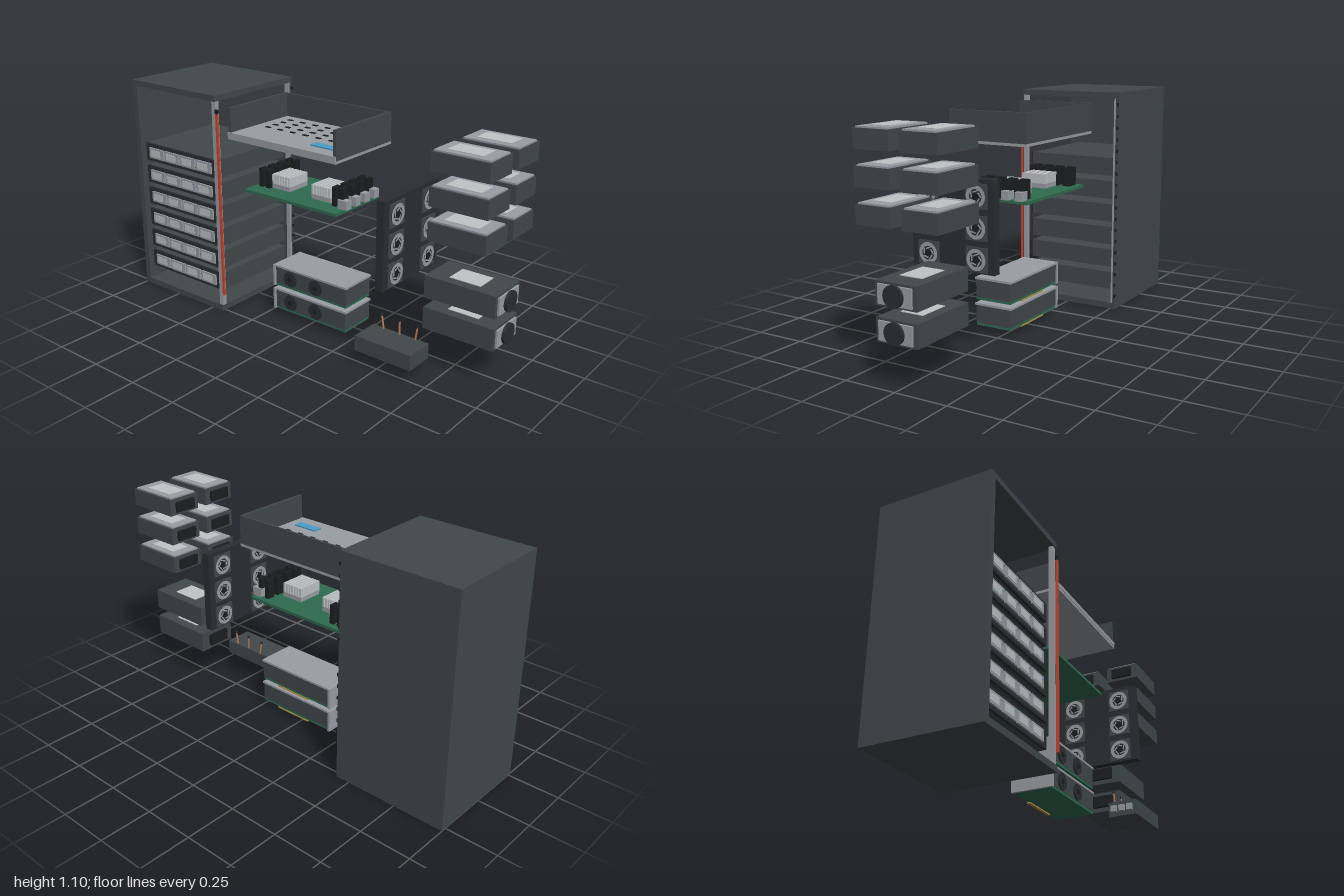
import * as THREE from 'three';

const mat = (c) => new THREE.MeshStandardMaterial({ color: c });
const M = {
  shell: mat(0x42484b), dark: mat(0x2a2e31), black: mat(0x1b1e20), steel: mat(0x9a9da3),
  label: mat(0xc0c4c6), red: mat(0xc8452f), green: mat(0x2f6b50), blue: mat(0x4a9cc8),
  gold: mat(0xb09040), copper: mat(0xb87f55),
};

// Box given by its min and max corners
function box(parent, name, m, x0, x1, y0, y1, z0, z1) {
  const mesh = new THREE.Mesh(new THREE.BoxGeometry(x1 - x0, y1 - y0, z1 - z0), m);
  mesh.position.set((x0 + x1) / 2, (y0 + y1) / 2, (z0 + z1) / 2);
  mesh.name = name;
  parent.add(mesh);
  return mesh;
}

// Disc whose axis runs along x or z
function disc(parent, name, m, r, depth, axis, x, y, z) {
  const g = new THREE.CylinderGeometry(r, r, depth, 28);
  if (axis === 'x') g.rotateZ(Math.PI / 2); else g.rotateX(Math.PI / 2);
  const mesh = new THREE.Mesh(g, m);
  mesh.position.set(x, y, z);
  mesh.name = name;
  parent.add(mesh);
  return mesh;
}

function group(parent, name) {
  const g = new THREE.Group();
  g.name = name;
  parent.add(g);
  return g;
}

// Cabinet, open at the front and on its +x side
function cabinet(root) {
  const g = group(root, 'cabinet');
  box(g, 'leftPanel', M.shell, -1, -0.97, 0, 1.095, -0.275, 0.27);
  box(g, 'backPanel', M.shell, -0.97, -0.43, 0.03, 1.067, -0.275, -0.26);
  box(g, 'floorPanel', M.shell, -0.97, -0.43, 0, 0.03, -0.275, 0.27);
  box(g, 'roofPanel', M.shell, -0.97, -0.43, 1.067, 1.095, -0.275, 0.27);
  box(g, 'frontPost', M.steel, -0.455, -0.43, 0.03, 1.067, 0.243, 0.264);
  box(g, 'rearPost', M.steel, -0.455, -0.43, 0.03, 1.067, -0.26, -0.25);
  box(g, 'redStrip', M.red, -0.425, -0.413, 0.09, 1.01, 0.262, 0.272);
  box(g, 'stripCap', M.black, -0.43, -0.415, 1.01, 1.03, 0.26, 0.27);
  for (let i = 0; i < 18; i++) {
    const y = 0.06 + i * 0.057;
    box(g, 'rearClip', M.black, -0.435, -0.424, y, y + 0.016, -0.275, -0.268);
  }
  // Drive bays with four drives each
  for (let i = 0; i < 6; i++) {
    const b = group(g, 'driveBay'), y = 0.138 + i * 0.1172;
    box(b, 'bayBody', M.shell, -0.97, -0.46, y - 0.045, y + 0.045, -0.235, 0.225);
    box(b, 'bayFront', M.dark, -0.968, -0.462, y - 0.045, y + 0.045, 0.225, 0.237);
    for (let k = 0; k < 4; k++) {
      const x = -0.938 + k * 0.112;
      box(b, 'drive', M.steel, x, x + 0.103, y - 0.027, y + 0.027, 0.237, 0.245);
      box(b, 'driveLight', M.blue, x + 0.092, x + 0.097, y + 0.01, y + 0.016, 0.245, 0.247);
      box(b, 'driveLatch', M.label, x + 0.012, x + 0.08, y - 0.017, y + 0.017, 0.245, 0.2465);
    }
  }
}

// Open tray with vent slots in its floor
function tray(root) {
  const g = group(root, 'chassisTray');
  box(g, 'trayBase', M.steel, -0.37, 0.262, 0.896, 0.909, -0.16, 0.248);
  box(g, 'trayFloor', M.steel, -0.352, 0.246, 0.909, 0.93, -0.15, 0.248);
  box(g, 'frontLip', M.steel, -0.37, 0.262, 0.909, 0.93, 0.244, 0.25);
  box(g, 'sideWall', M.shell, -0.37, -0.352, 0.909, 1.045, -0.16, 0.244);
  box(g, 'sideWall', M.shell, 0.246, 0.262, 0.909, 1.045, -0.16, 0.244);
  box(g, 'backWall', M.shell, -0.352, 0.246, 0.909, 1.045, -0.16, -0.15);
  for (let r = 0; r < 4; r++) for (let c = 0; c < 7; c++) {
    const x = -0.28 + c * 0.076, z = -0.092 + r * 0.054;
    box(g, 'ventSlot', M.black, x - 0.014, x + 0.014, 0.93, 0.933, z - 0.007, z + 0.007);
  }
  box(g, 'blueTag', M.blue, 0.07, 0.197, 0.93, 0.936, 0.138, 0.182);
}

// Main circuit board
function mainBoard(root) {
  const g = group(root, 'mainBoard');
  box(g, 'board', M.green, -0.328, 0.22, 0.632, 0.646, -0.14, 0.19);
  for (const x of [-0.185, 0.057]) {
    box(g, 'heatSinkBase', M.steel, x - 0.055, x + 0.055, 0.646, 0.668, -0.035, 0.095);
    for (let i = 0; i < 7; i++) {
      const fx = x - 0.055 + i * 0.0165;
      box(g, 'heatSinkFin', M.label, fx, fx + 0.011, 0.668, 0.714, -0.035, 0.095);
    }
  }
  for (const x of [-0.291, -0.25, 0.15, 0.191]) for (let k = 0; k < 4; k++) {
    const z = -0.09 + k * 0.062;
    box(g, 'memoryStick', M.black, x - 0.011, x + 0.011, 0.646, 0.737, z - 0.02, z + 0.02);
  }
  for (const z of [-0.1, -0.03, 0.04, 0.11]) {
    box(g, 'edgeConnector', M.steel, 0.18, 0.231, 0.646, 0.688, z - 0.018, z + 0.018);
  }
}

// Expansion card with two front fans
function expansionCard(root, y) {
  const g = group(root, 'expansionCard');
  box(g, 'shroud', M.shell, -0.195, 0.23, y + 0.018, y + 0.104, -0.06, 0.128);
  box(g, 'backPlate', M.steel, -0.195, 0.235, y + 0.104, y + 0.114, -0.064, 0.132);
  box(g, 'circuitBoard', M.green, -0.195, 0.23, y + 0.006, y + 0.018, -0.058, 0.126);
  box(g, 'goldContacts', M.gold, -0.065, 0.133, y, y + 0.006, -0.062, -0.048);
  box(g, 'endBracket', M.steel, -0.207, -0.195, y + 0.006, y + 0.114, -0.066, 0.137);
  for (const x of [-0.103, 0.053]) {
    disc(g, 'cardFan', M.dark, 0.039, 0.008, 'z', x, y + 0.06, 0.131);
    disc(g, 'cardFanHub', M.black, 0.013, 0.012, 'z', x, y + 0.06, 0.131);
  }
}

// Wall of six fans, finished on both faces
function fanWall(root) {
  const g = group(root, 'fanWall');
  box(g, 'wallPlate', M.dark, 0.487, 0.527, 0.383, 0.79, -0.165, 0.258);
  for (const z of [0.171, -0.078]) for (const y of [0.444, 0.58, 0.716]) {
    const f = group(g, 'fan');
    f.position.set(0.507, y, z);
    box(f, 'fanFrame', M.shell, -0.026, 0.026, -0.054, 0.054, -0.054, 0.054);
    for (const s of [-1, 1]) {
      disc(f, 'fanDisc', M.dark, 0.046, 0.003, 'x', s * 0.0265, 0, 0);
      const ring = new THREE.Mesh(new THREE.RingGeometry(0.031, 0.048, 32), M.steel);
      ring.rotation.y = s * Math.PI / 2;
      ring.position.x = s * 0.0295;
      ring.name = 'fanRing';
      f.add(ring);
      for (let k = 0; k < 5; k++) {
        const blade = box(f, 'fanBlade', M.steel, -0.001, 0.001, -0.003, 0.003, -0.013, 0.013);
        const a = k * Math.PI * 0.4;
        blade.position.set(s * 0.0295, Math.cos(a) * 0.022, Math.sin(a) * 0.022);
        blade.rotation.x = a + 0.35;
      }
      disc(f, 'fanHub', M.black, 0.014, 0.006, 'x', s * 0.029, 0, 0);
    }
  }
}

// Small storage module with a top plate and label
function storageModule(root, y, z) {
  const g = group(root, 'storageModule');
  box(g, 'moduleBody', M.shell, 0.697, 0.967, y, y + 0.082, z - 0.087, z + 0.087);
  box(g, 'topPlate', M.steel, 0.705, 0.96, y + 0.082, y + 0.089, z - 0.077, z + 0.077);
  box(g, 'topLabel', M.label, 0.75, 0.91, y + 0.089, y + 0.092, z - 0.048, z + 0.048);
  box(g, 'moduleConnector', M.black, 0.682, 0.697, y + 0.015, y + 0.065, z - 0.055, z + 0.055);
}

// Power supply with a round fan on its +x end
function powerSupply(root, y) {
  const g = group(root, 'powerSupply');
  box(g, 'supplyBody', M.shell, 0.633, 0.978, y, y + 0.102, -0.103, 0.1);
  box(g, 'supplyLabel', M.label, 0.73, 0.88, y + 0.102, y + 0.105, -0.055, 0.055);
  box(g, 'endPlate', M.steel, 0.978, 0.987, y + 0.01, y + 0.092, -0.083, 0.083);
  disc(g, 'supplyFan', M.dark, 0.047, 0.013, 'x', 0.9935, y + 0.051, 0);
  box(g, 'supplyConnector', M.black, 0.617, 0.633, y + 0.022, y + 0.08, -0.055, 0.06);
}

// Power box with three upright leads
function powerBox(root) {
  const g = group(root, 'powerBox');
  box(g, 'boxBody', M.shell, 0.397, 0.69, 0.07, 0.143, 0.135, 0.277);
  for (const z of [0.165, 0.205, 0.245]) {
    box(g, 'boxSocket', M.steel, 0.382, 0.397, 0.092, 0.122, z - 0.014, z + 0.014);
  }
  [[0.459, 0.445], [0.543, 0.543], [0.625, 0.638]].forEach(([x0, x1]) => {
    const at = (t) => new THREE.Vector3(x0 + (x1 - x0) * t, 0.135 + 0.085 * t, 0.143);
    const lead = (a, b, m, r) => {
      const tube = new THREE.Mesh(new THREE.TubeGeometry(new THREE.LineCurve3(at(a), at(b)), 1, r, 8), m);
      tube.name = 'powerLead';
      g.add(tube);
    };
    lead(0, 0.9, M.copper, 0.0045);
    lead(0.82, 1, M.dark, 0.006);
  });
}

export function createModel() {
  const root = new THREE.Group();
  root.name = 'serverRackParts';
  cabinet(root);
  tray(root);
  mainBoard(root);
  [0.032, 0.156].forEach((y) => expansionCard(root, y));
  fanWall(root);
  for (const y of [0.646, 0.796, 0.945]) for (const z of [0.11, -0.116]) storageModule(root, y, z);
  [0.187, 0.337].forEach((y) => powerSupply(root, y));
  powerBox(root);
  return root;
}
